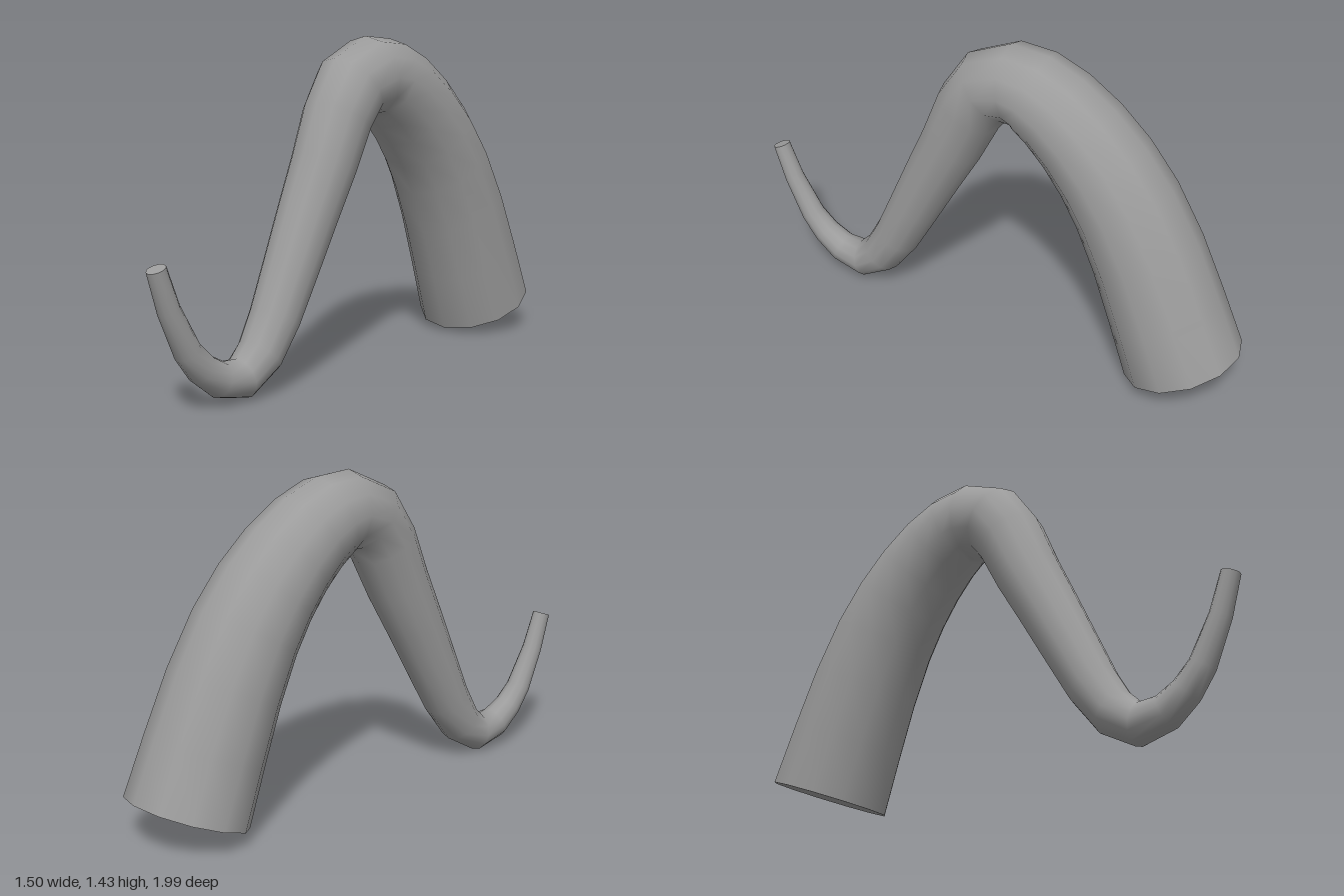
import * as THREE from 'three';

// Centreline stations from the thick base to the thin tip: [z, y]
const STATIONS = [
  [-0.743, 0.118], [-0.665, 0.365], [-0.583, 0.61], [-0.495, 0.82], [-0.41, 0.97], [-0.32, 1.09],
  [-0.225, 1.185], [-0.14, 1.24], [-0.065, 1.256], [0.035, 1.215], [0.108, 1.09], [0.18, 0.9],
  [0.262, 0.71], [0.35, 0.5], [0.435, 0.3], [0.51, 0.165], [0.6, 0.09], [0.7, 0.112],
  [0.775, 0.175], [0.835, 0.26], [0.91, 0.44], [0.957, 0.605],
];
const SIDES = 12;

// The curve lies in one vertical plane, so x follows from z
const centres = STATIONS.map(([z, y]) => new THREE.Vector3(0.49 - 0.708 * (z + 0.74), y, z));
const across = new THREE.Vector3(0.817, 0, 0.578).normalize();

// Ring of points square to the curve at station i; the radius tapers evenly along z
function ring(i) {
  const last = centres.length - 1;
  const before = centres[Math.max(i - 1, 0)], after = centres[Math.min(i + 1, last)];
  const normal = new THREE.Vector3().crossVectors(across, after.clone().sub(before)).normalize();
  const r = 0.265 - 0.1327 * (centres[i].z + 0.74);
  return Array.from({ length: SIDES }, (_, j) => {
    const a = (j / SIDES) * Math.PI * 2;
    return centres[i].clone()
      .addScaledVector(normal, r * Math.cos(a))
      .addScaledVector(across, r * Math.sin(a));
  });
}

function makeGeometry(points, index) {
  const geometry = new THREE.BufferGeometry().setFromPoints(points);
  geometry.setIndex(index);
  geometry.computeVertexNormals();
  return geometry;
}

// Flat disc closing one end
function capGeometry(points, centre, flip) {
  const index = [];
  for (let j = 0; j < SIDES; j++) {
    const k = (j + 1) % SIDES;
    index.push(SIDES, flip ? k : j, flip ? j : k);
  }
  return makeGeometry([...points, centre], index);
}

export function createModel() {
  const group = new THREE.Group();
  group.name = 'tentacle';
  const material = new THREE.MeshStandardMaterial({ color: 0x9c9c9c });
  const add = (name, geometry) => {
    const mesh = new THREE.Mesh(geometry, material);
    mesh.name = name;
    group.add(mesh);
  };

  // Smooth tapered skin
  const rings = centres.map((_, i) => ring(i));
  const index = [];
  for (let i = 0; i < rings.length - 1; i++) {
    for (let j = 0; j < SIDES; j++) {
      const k = (j + 1) % SIDES;
      const a = i * SIDES + j, b = i * SIDES + k;
      index.push(a, b, a + SIDES, b, b + SIDES, a + SIDES);
    }
  }
  add('tentacleBody', makeGeometry(rings.flat(), index));

  // End caps
  const last = rings.length - 1;
  add('baseCap', capGeometry(rings[0], centres[0], true));
  add('tipCap', capGeometry(rings[last], centres[last], false));
  return group;
}
